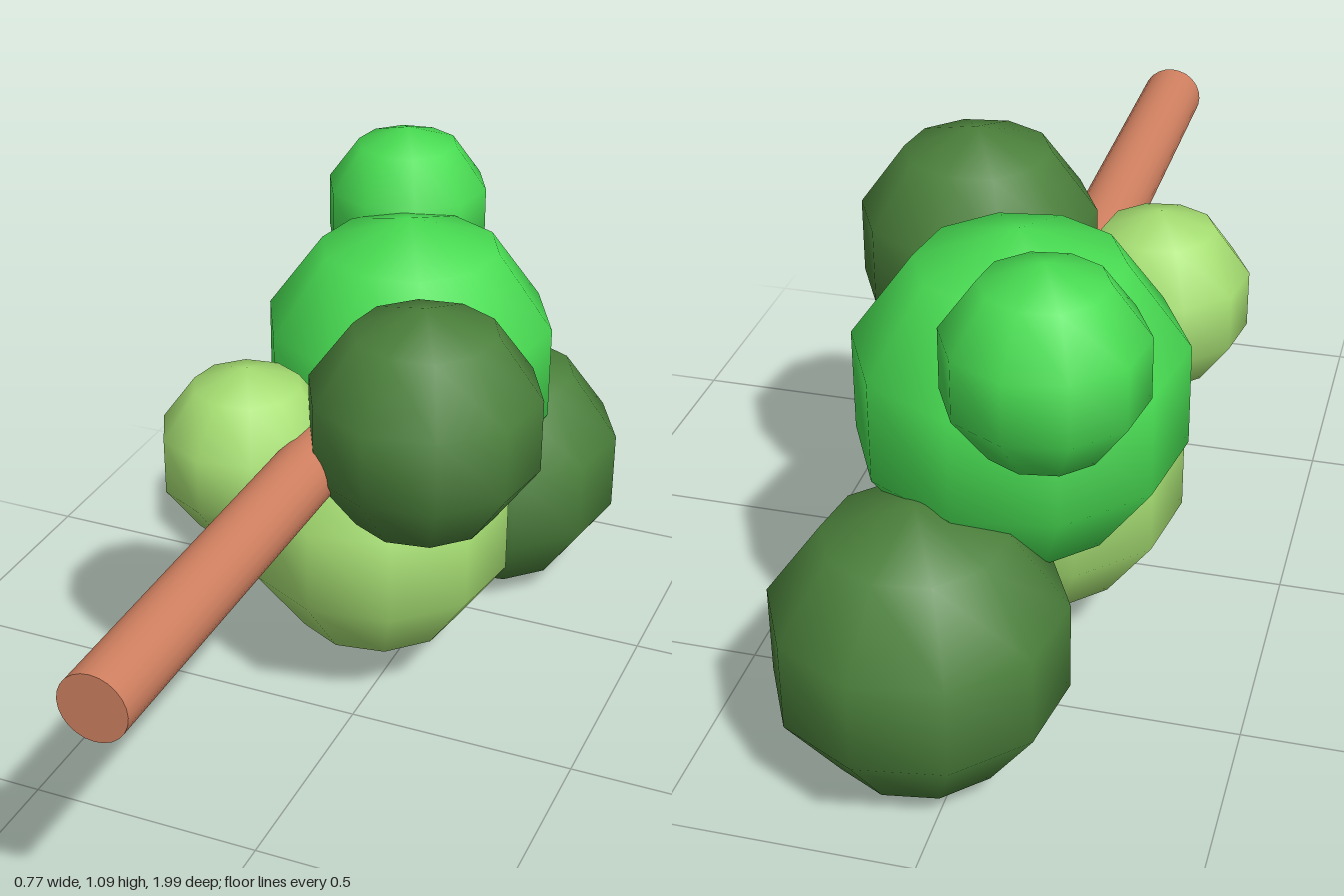
import * as THREE from 'three';

export function createModel() {
  const group = new THREE.Group();
  const paint = (color) => new THREE.MeshStandardMaterial({ color });
  const dark = paint(0x4b803b);
  const bright = paint(0x48dc52);
  const light = paint(0xa6de72);

  // Trunk lying along z, its far end buried in the crown
  const trunkLength = 1.42;
  const trunk = new THREE.Mesh(
    new THREE.CylinderGeometry(0.068, 0.068, trunkLength, 24),
    paint(0xd08060)
  );
  trunk.name = 'trunk';
  trunk.rotation.x = Math.PI / 2;
  trunk.position.set(-0.045, 0.67, 1 - trunkLength / 2);
  group.add(trunk);

  // Coarse, smooth-shaded leaf balls: name, radius, centre, material
  const leaves = [
    ['mainFoliage', 0.33, [-0.045, 0.67, -0.42], bright],
    ['upperFoliage', 0.19, [-0.165, 0.9, -0.705], bright],
    ['lowerFoliage', 0.3, [-0.03, 0.385, -0.215], light],
    ['frontRightFoliage', 0.19, [-0.21, 0.64, 0.05], light],
    ['frontLeftFoliage', 0.25, [0.15, 0.75, -0.01], dark],
    ['rearFoliage', 0.2925, [0.07, 0.2925, -0.72], dark],
  ];
  for (const [name, radius, centre, material] of leaves) {
    const ball = new THREE.Mesh(new THREE.SphereGeometry(radius, 10, 5), material);
    ball.name = name;
    ball.position.set(...centre);
    ball.rotation.y = Math.PI / 20;
    group.add(ball);
  }
  return group;
}
